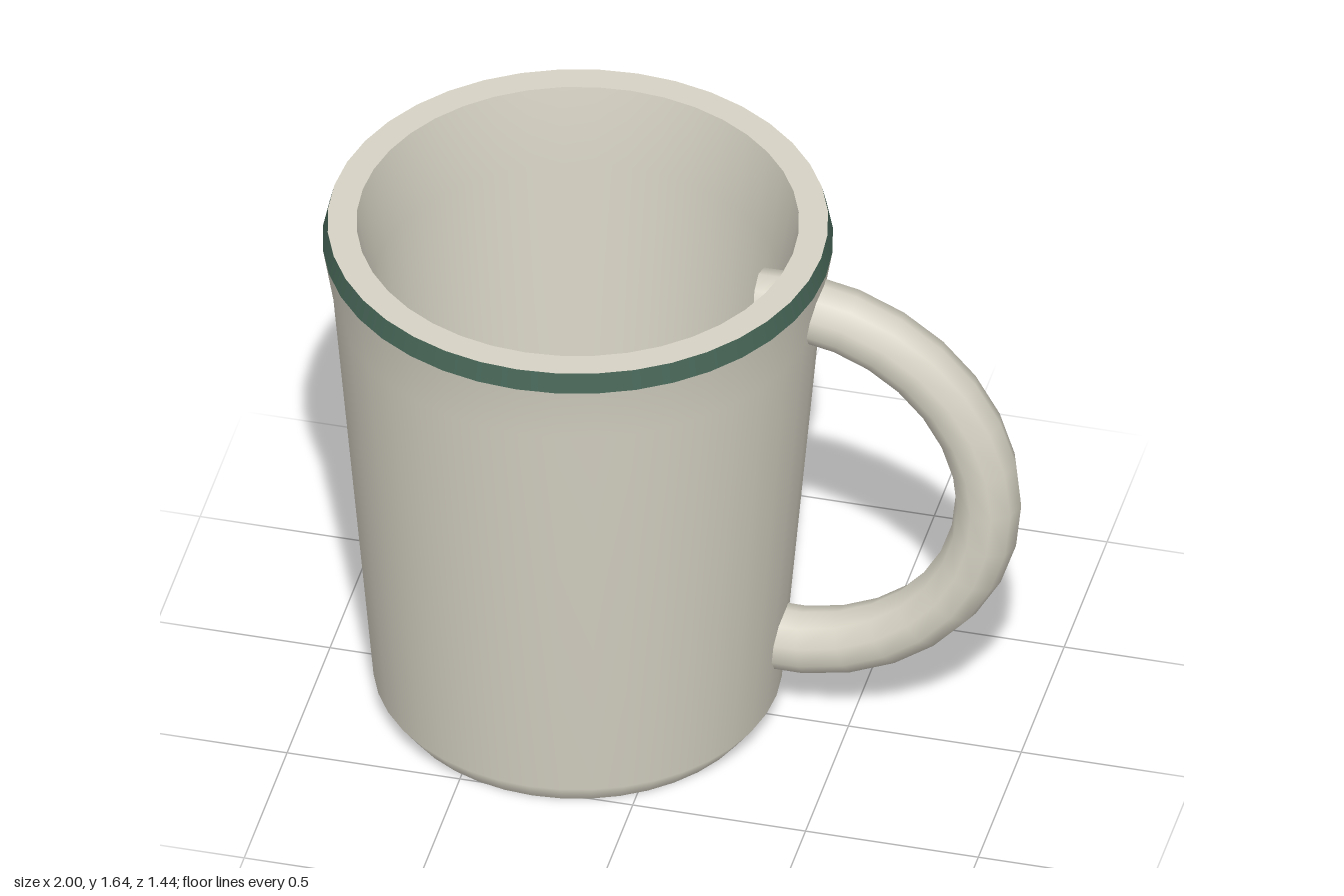
import * as THREE from 'three';

export function createModel() {
  const group = new THREE.Group();
  const cream = new THREE.MeshStandardMaterial({ color: 0xd6d2c4 });
  cream.name = 'cream glaze';
  const green = new THREE.MeshStandardMaterial({ color: 0x466456 });
  green.name = 'dark green rim';

  // Cup: one lathe per smooth stretch, so edges between them stay sharp
  const cup = new THREE.Group();
  cup.name = 'cup';
  cup.position.x = -0.283;
  group.add(cup);
  const addLathe = (name, material, profile) => {
    const points = profile.map(([r, y]) => new THREE.Vector2(r, y));
    const mesh = new THREE.Mesh(new THREE.LatheGeometry(points, 40), material);
    mesh.name = name;
    cup.add(mesh);
  };
  addLathe('base', cream, [[0, 0], [0.525, 0]]);
  addLathe('outerWall', cream, [[0.525, 0], [0.575, 0.07], [0.688, 1.4], [0.718, 1.58]]);
  addLathe('rimBand', green, [[0.718, 1.58], [0.704, 1.64]]);
  addLathe('lip', cream, [[0.704, 1.64], [0.622, 1.64]]);
  addLathe('innerWall', cream, [[0.622, 1.64], [0.58, 1.4], [0.475, 0.1]]);
  addLathe('floor', cream, [[0.475, 0.1], [0, 0.1]]);

  // Handle: slightly more than half a ring, with capped ends sunk in the wall
  const R = 0.59, tube = 0.095, extra = 0.11;
  const arc = Math.PI + 2 * extra;
  const handle = new THREE.Group();
  handle.name = 'handle';
  handle.position.set(0.315, 0.87, 0);
  handle.rotation.z = -arc / 2;
  group.add(handle);
  const ring = new THREE.Mesh(new THREE.TorusGeometry(R, tube, 10, 16, arc), cream);
  ring.name = 'handleRing';
  handle.add(ring);
  for (const [name, angle, tilt] of [['lowerCap', 0, 1], ['upperCap', arc, -1]]) {
    const geometry = new THREE.CircleGeometry(tube, 10);
    geometry.rotateX(tilt * Math.PI / 2).translate(R, 0, 0).rotateZ(angle);
    const cap = new THREE.Mesh(geometry, cream);
    cap.name = name;
    handle.add(cap);
  }
  return group;
}
